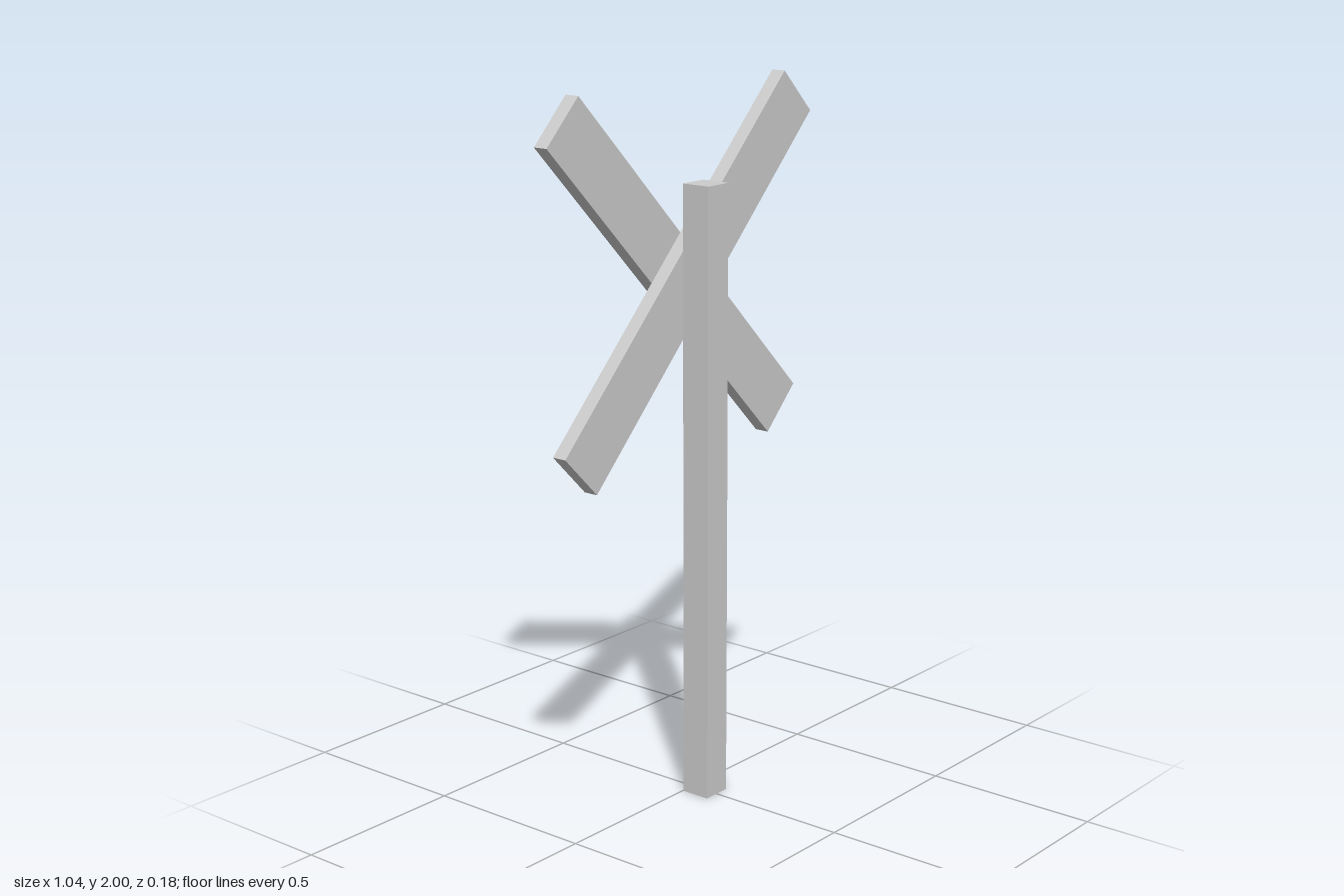
import * as THREE from 'three';

export function createModel() {
  const group = new THREE.Group();
  const material = new THREE.MeshStandardMaterial({ color: 0xcccccc, flatShading: true });

  const addBox = (name, size, position, tilt = 0) => {
    const mesh = new THREE.Mesh(new THREE.BoxGeometry(...size), material);
    mesh.name = name;
    mesh.position.set(...position);
    mesh.rotation.z = tilt;
    group.add(mesh);
  };

  // Upright square post
  addBox('post', [0.086, 1.74, 0.086], [0, 0.87, 0.0455]);

  // Two crossed boards behind the post, with a thin gap between them
  const board = [1.301, 0.171, 0.043];
  addBox('frontBoard', board, [0, 1.48, -0.019], Math.PI / 4);
  addBox('backBoard', board, [0, 1.48, -0.067], -Math.PI / 4);

  return group;
}
